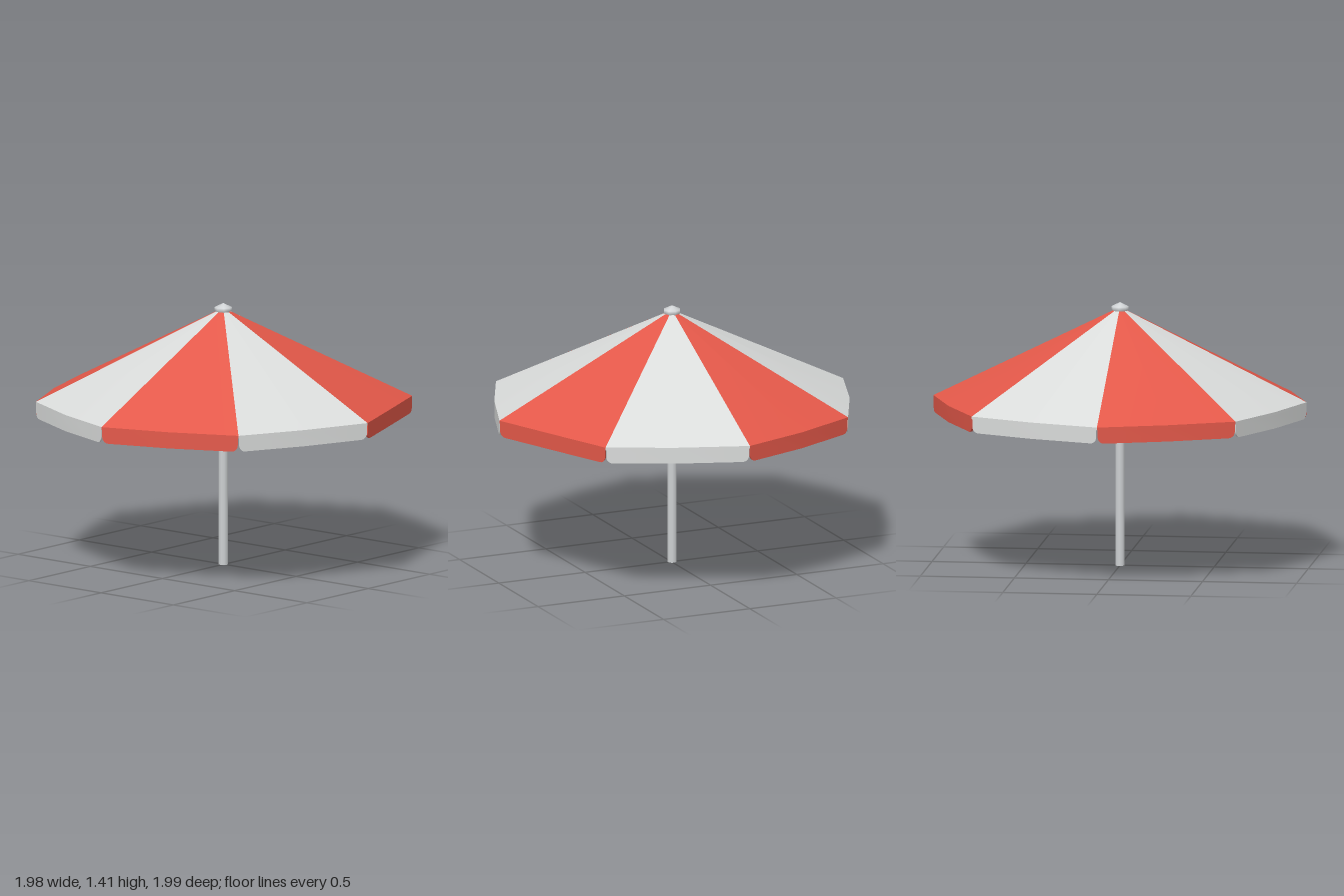
import * as THREE from 'three';
import { mergeGeometries } from 'three/addons/utils/BufferGeometryUtils.js';

const PANELS = 8, RIM_Y = 0.89, HEM_Y = 0.803, PEAK_Y = 1.365, THICK = 0.014;

// Quad strip between two equally long rows of points, smooth along its length
function strip(upper, lower) {
  const pos = [], index = [];
  upper.forEach((p, i) => {
    pos.push(...p.toArray(), ...lower[i].toArray());
    if (i > 0) {
      const a = 2 * (i - 1), b = a + 1, c = 2 * i, d = c + 1;
      index.push(a, b, d, a, d, c);
    }
  });
  const g = new THREE.BufferGeometry();
  g.setAttribute('position', new THREE.Float32BufferAttribute(pos, 3));
  g.setIndex(index);
  g.computeVertexNormals();
  return g;
}

const polar = (angle, r, y) => new THREE.Vector3(Math.sin(angle) * r, y, Math.cos(angle) * r);

// Corner, slightly bulged middle and corner of one panel's rim
function rimPoints(i) {
  const step = (Math.PI * 2) / PANELS, a = i * step;
  const radius = k => (k % PANELS < 2 ? 1.0 : 0.992);
  return [
    polar(a, radius(i), RIM_Y),
    polar(a + step / 2, i === 0 ? 0.925 : 0.938, RIM_Y),
    polar(a + step, radius(i + 1), RIM_Y),
  ];
}

// Sloping cloth: outer face, rim edge and lining
function canopyGeometry(rim) {
  const top = rim.map(p => p.clone().setY(0).setLength(0.03).setY(PEAK_Y));
  const sink = row => row.map(p => p.clone().setY(p.y - THICK));
  return mergeGeometries([strip(top, rim), strip(rim, sink(rim)), strip(sink(rim), sink(top))]);
}

// Hanging flap with rounded lower corners, following the bent rim
function valanceGeometry(rim) {
  const r = 0.035, u0 = 0.005, w = 0.046;
  const half = [[u0, RIM_Y]];
  for (let k = 0; k <= 5; k++) {
    const t = (k / 5) * Math.PI / 2;
    half.push([u0 + w * (1 - Math.cos(t)), HEM_Y + r * (1 - Math.sin(t))]);
  }
  const profile = [...half, [0.5, HEM_Y], ...half.map(([u, y]) => [1 - u, y]).reverse()];
  const at = (u, y, inset) => {
    const p = u < 0.5 ? rim[0].clone().lerp(rim[1], u * 2) : rim[1].clone().lerp(rim[2], u * 2 - 1);
    return p.multiplyScalar(1 - inset).setY(y);
  };
  const row = (inset, top) => profile.map(([u, y]) => at(u, top ? RIM_Y : y, inset));
  const outTop = row(0, true), outLow = row(0, false);
  const inTop = row(THICK, true), inLow = row(THICK, false);
  return mergeGeometries([strip(outTop, outLow), strip(outLow, inLow), strip(inLow, inTop)]);
}

export function createModel() {
  const red = new THREE.MeshStandardMaterial({ color: 0xe35849 });
  red.name = 'red cloth';
  const white = new THREE.MeshStandardMaterial({ color: 0xd9dbda });
  white.name = 'white cloth';
  const metal = new THREE.MeshStandardMaterial({ color: 0xcdd0d2 });
  metal.name = 'pale metal';
  red.side = white.side = THREE.DoubleSide;

  const model = new THREE.Group();
  model.name = 'parasol';
  const add = (name, geometry, material) => {
    const mesh = new THREE.Mesh(geometry, material);
    mesh.name = name;
    model.add(mesh);
    return mesh;
  };

  // Alternating cloth panels
  for (let i = 0; i < PANELS; i++) {
    const rim = rimPoints(i), cloth = i % 2 ? white : red;
    add('canopyPanel' + (i + 1), canopyGeometry(rim), cloth);
    add('valance' + (i + 1), valanceGeometry(rim), cloth);
  }

  // Pole
  add('pole', new THREE.CylinderGeometry(0.025, 0.025, 1.36, 10), metal).position.y = 0.68;

  // Finial cap
  const cap = [[0, 1.345], [0.038, 1.345], [0.038, 1.36], [0.046, 1.366], [0.046, 1.384], [0, 1.406]];
  add('finial', new THREE.LatheGeometry(cap.map(p => new THREE.Vector2(...p)), 8), metal);

  model.position.z = -0.004;
  return model;
}
